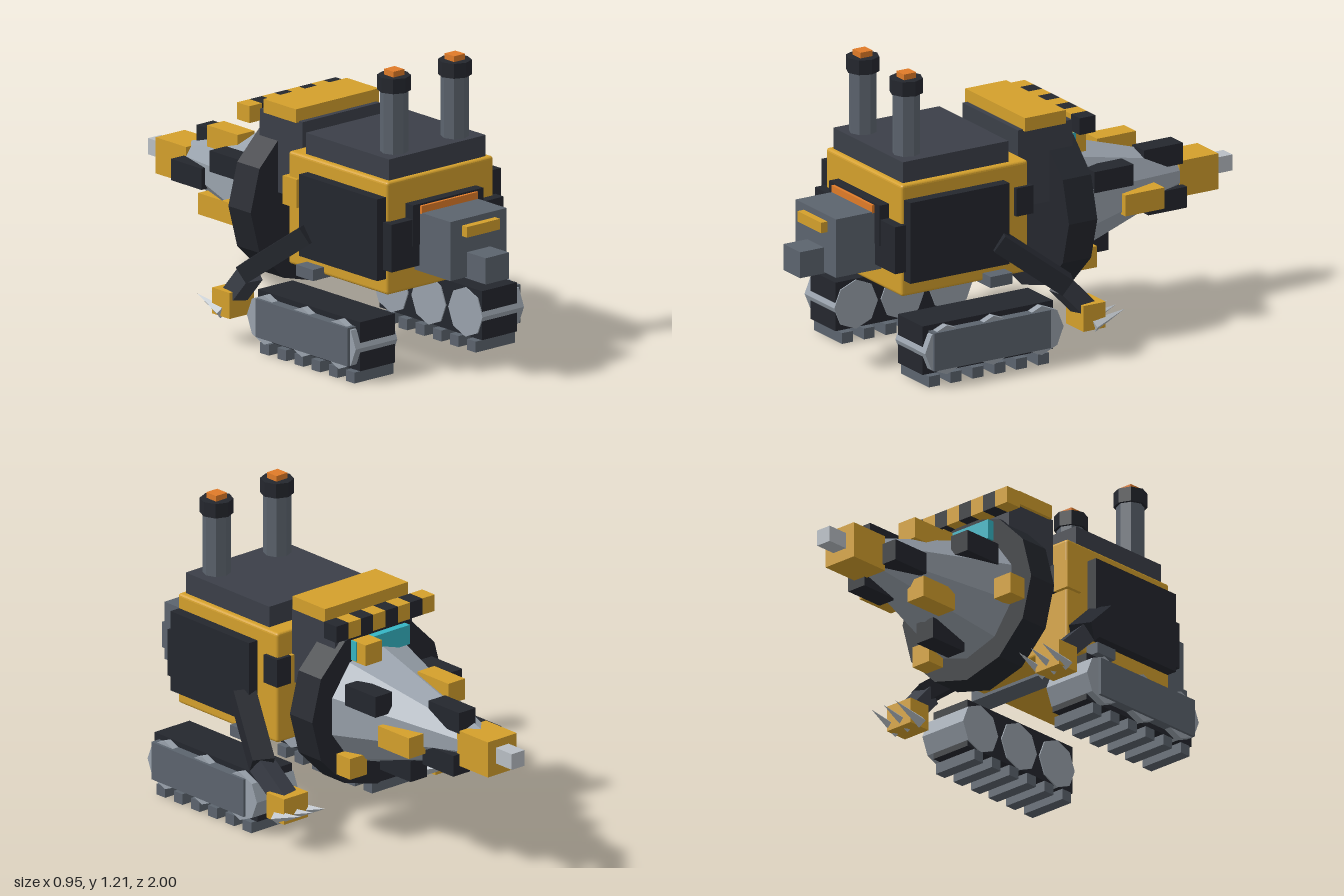
import * as THREE from 'three';
import { RoundedBoxGeometry } from 'three/addons/geometries/RoundedBoxGeometry.js';

const mat = (color) => new THREE.MeshStandardMaterial({ color, flatShading: true });
const yellow = mat(0xd4a02c), dark = mat(0x24272e), slate = mat(0x3b3f48), steel = mat(0x5c646e);
const light = mat(0x9aa3ad), silver = mat(0xb9bfc5), orange = mat(0xe07b28), cyan = mat(0x35b5c4);

function add(parent, name, geometry, material, x = 0, y = 0, z = 0) {
  const mesh = new THREE.Mesh(geometry, material);
  mesh.name = name;
  mesh.position.set(x, y, z);
  parent.add(mesh);
  return mesh;
}

// Box given by its lower and upper limits on each axis
function box(parent, name, material, [x0, x1], [y0, y1], [z0, z1]) {
  return add(parent, name, new THREE.BoxGeometry(x1 - x0, y1 - y0, z1 - z0), material,
    (x0 + x1) / 2, (y0 + y1) / 2, (z0 + z1) / 2);
}

// Square beam running from a to b
function beam(parent, name, material, a, b, w, h) {
  const p = new THREE.Vector3(...a), q = new THREE.Vector3(...b);
  const mesh = add(parent, name, new THREE.BoxGeometry(w, h, p.distanceTo(q)), material);
  mesh.position.copy(p).lerp(q, 0.5);
  mesh.lookAt(q);
  return mesh;
}

// Row of alternating warning stripes across x
function stripes(parent, name, half, ys, zs, count = 8) {
  const w = (2 * half) / count;
  for (let i = 0; i < count; i++) {
    const x = -half + i * w;
    box(parent, name, i % 2 ? dark : yellow, [x, x + w], ys, zs);
  }
}

function buildBody(g) {
  add(g, 'hull', new RoundedBoxGeometry(0.55, 0.455, 0.58, 2, 0.012), yellow, 0, 0.5625, 0.38);
  box(g, 'roofDeck', slate, [-0.25, 0.25], [0.785, 0.875], [0.165, 0.65]);
  box(g, 'axleBeam', steel, [-0.333, 0.333], [0.322, 0.367], [0.2, 0.3]);
  stripes(g, 'hullStripe', 0.29, [0.575, 0.69], [0.075, 0.155]);

  // Engine pack on the +z end
  box(g, 'enginePlate', dark, [-0.29, 0.29], [0.44, 0.632], [0.62, 0.71]);
  box(g, 'engineFrame', dark, [-0.182, 0.182], [0.525, 0.69], [0.64, 0.713]);
  box(g, 'engineGlow', orange, [-0.145, 0.145], [0.65, 0.683], [0.66, 0.725]);
  box(g, 'engineBlock', steel, [-0.145, 0.145], [0.417, 0.655], [0.68, 0.89]);
  box(g, 'engineBadgePlate', yellow, [-0.085, 0.085], [0.587, 0.63], [0.87, 0.92]);
  box(g, 'exhaustBox', steel, [-0.06, 0.06], [0.411, 0.517], [0.87, 1.0]);
}

function buildHead(g) {
  box(g, 'headBlock', slate, [-0.2, 0.2], [0.575, 0.89], [-0.16, 0.09]);
  box(g, 'headCap', yellow, [-0.215, 0.215], [0.885, 0.94], [-0.12, 0.068]);
  box(g, 'visor', cyan, [-0.14, 0.14], [0.73, 0.81], [-0.215, -0.15]);
  stripes(g, 'browStripe', 0.255, [0.842, 0.91], [-0.23, -0.158]);
}

function buildDrill(g) {
  const drill = new THREE.Group();
  drill.name = 'drill';
  drill.position.y = 0.518;
  g.add(drill);
  const alongZ = (r1, r0, len, n) => new THREE.CylinderGeometry(r1, r0, len, n).rotateX(-Math.PI / 2);
  add(drill, 'drillCollar', alongZ(0.34, 0.34, 0.13, 12), dark, 0, 0, -0.12);
  add(drill, 'drillCone', alongZ(0.055, 0.25, 0.63, 10), light, 0, 0, -0.495);
  // Cutting teeth in a spiral, three to a ring
  for (let ring = 0; ring < 4; ring++) {
    for (let k = 0; k < 3; k++) {
      const a = THREE.MathUtils.degToRad(70 + ring * 80 + k * 120), r = 0.265 - 0.055 * ring;
      add(drill, 'drillTooth', new THREE.BoxGeometry(0.086, 0.086, 0.178), ring % 2 ? dark : yellow,
        Math.cos(a) * r, Math.sin(a) * r, -0.175 - ring * 0.16);
    }
  }
  box(drill, 'drillTip', yellow, [-0.075, 0.075], [-0.083, 0.063], [-0.908, -0.73]);
  box(drill, 'drillPoint', silver, [-0.033, 0.033], [-0.035, 0.03], [-1, -0.88]);
}

// Everything that exists once on each side, built for +x
function buildSide() {
  const s = new THREE.Group();
  s.name = 'sideAssembly';
  box(s, 'sidePanel', dark, [0.26, 0.32], [0.4, 0.73], [0.205, 0.66]);

  // Chimney
  add(s, 'chimney', new THREE.CylinderGeometry(0.055, 0.055, 0.26, 8), steel, 0.157, 1.0, 0.575);
  add(s, 'chimneyCap', new THREE.CylinderGeometry(0.066, 0.066, 0.06, 8), dark, 0.157, 1.153, 0.575);
  box(s, 'chimneyGlow', orange, [0.129, 0.185], [1.17, 1.206], [0.547, 0.603]);

  // Track
  box(s, 'trackBelt', dark, [0.225, 0.405], [0.052, 0.25], [0.06, 0.657]);
  box(s, 'trackGuard', steel, [0.39, 0.447], [0.073, 0.228], [0.095, 0.63]);
  for (const z of [0.565, 0.35, 0.13]) {
    const wheel = new THREE.CylinderGeometry(0.1, 0.1, 0.215, 8).rotateZ(Math.PI / 2);
    add(s, 'trackWheel', wheel, light, 0.3275, 0.147, z);
  }
  for (let i = 0; i < 6; i++) {
    const z = 0.11 + i * 0.1;
    box(s, 'trackCleat', steel, [0.212, 0.415], [0, 0.044], [z - 0.025, z + 0.025]);
  }

  // Arm and clawed hand
  beam(s, 'upperArm', dark, [0.31, 0.5, 0.25], [0.425, 0.31, 0.01], 0.09, 0.075);
  beam(s, 'forearm', slate, [0.415, 0.31, 0.03], [0.39, 0.17, -0.11], 0.075, 0.075);
  box(s, 'hand', yellow, [0.33, 0.455], [0.115, 0.22], [-0.15, -0.048]);
  for (const x of [0.325, 0.387, 0.45]) {
    const claw = new THREE.ConeGeometry(0.027, 0.15, 4).rotateX(-Math.PI / 2 + 0.3);
    add(s, 'claw', claw, silver, x, 0.152, -0.17);
  }
  return s;
}

// Mirror a side across x = 0 with a true geometry flip
function mirrored(side) {
  const copy = side.clone();
  copy.children.forEach((mesh) => {
    mesh.updateMatrix();
    const geo = mesh.geometry.clone().applyMatrix4(mesh.matrix).toNonIndexed();
    geo.scale(-1, 1, 1);
    const p = geo.attributes.position, a = new THREE.Vector3(), b = new THREE.Vector3();
    for (let i = 0; i < p.count; i += 3) {
      a.fromBufferAttribute(p, i);
      b.fromBufferAttribute(p, i + 1);
      p.setXYZ(i, b.x, b.y, b.z);
      p.setXYZ(i + 1, a.x, a.y, a.z);
    }
    geo.computeVertexNormals();
    mesh.geometry = geo;
    mesh.position.set(0, 0, 0);
    mesh.quaternion.identity();
  });
  return copy;
}

export function createModel() {
  const model = new THREE.Group();
  model.name = 'drillingMachine';
  buildBody(model);
  buildHead(model);
  buildDrill(model);
  const side = buildSide();
  model.add(side, mirrored(side));
  return model;
}
